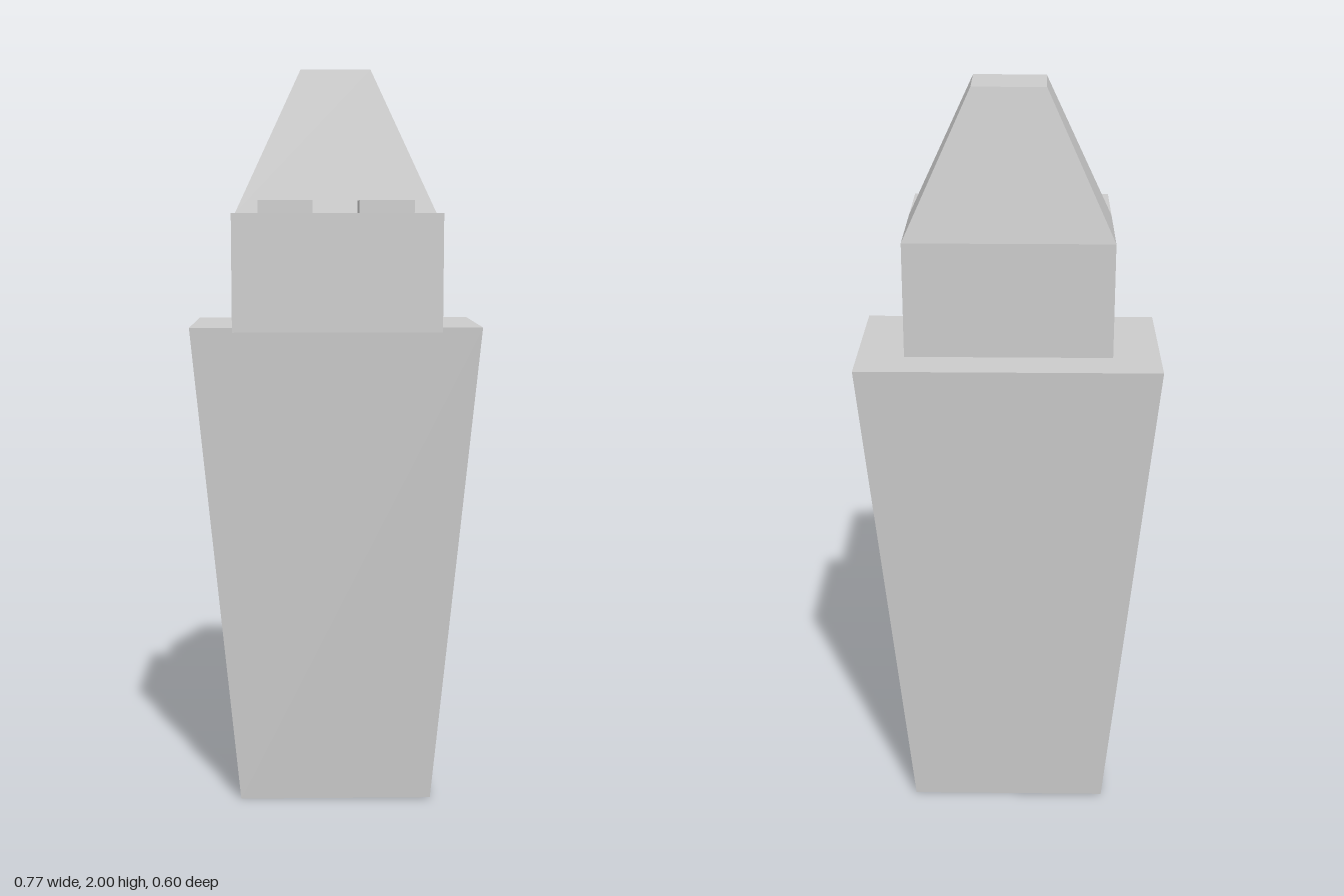
import * as THREE from 'three';

const material = new THREE.MeshStandardMaterial({ color: 0xcccccc, flatShading: true });

// Box between two heights; each end is [x0, x1, z0, z1], so the sides may taper
function taperedBlock(name, y0, y1, bottom, top = bottom) {
  const geometry = new THREE.BoxGeometry(1, 1, 1);
  const p = geometry.attributes.position;
  for (let i = 0; i < p.count; i++) {
    const upper = p.getY(i) > 0;
    const [x0, x1, z0, z1] = upper ? top : bottom;
    p.setXYZ(i, p.getX(i) > 0 ? x1 : x0, upper ? y1 : y0, p.getZ(i) > 0 ? z1 : z0);
  }
  geometry.computeVertexNormals();
  const mesh = new THREE.Mesh(geometry, material);
  mesh.name = name;
  return mesh;
}

export function createModel() {
  const model = new THREE.Group();
  model.name = 'blockFigure';

  // Body widens toward the shoulders
  model.add(taperedBlock('body', 0, 1.328,
    [-0.265, 0.265, -0.215, 0.045], [-0.387, 0.387, -0.3, 0.129]));

  // Head overhangs the front of the body
  model.add(taperedBlock('head', 1.328, 1.626, [-0.266, 0.266, -0.192, 0.3]));

  // Crown narrows to a small flat top
  model.add(taperedBlock('crown', 1.626, 2,
    [-0.266, 0.266, -0.192, 0.077], [-0.092, 0.092, -0.142, 0.025]));

  // Eye pads on top of the head
  model.add(taperedBlock('rightEye', 1.62, 1.658, [-0.201, -0.062, 0.12, 0.26]));
  model.add(taperedBlock('leftEye', 1.62, 1.658, [0.056, 0.195, 0.12, 0.26]));

  return model;
}
